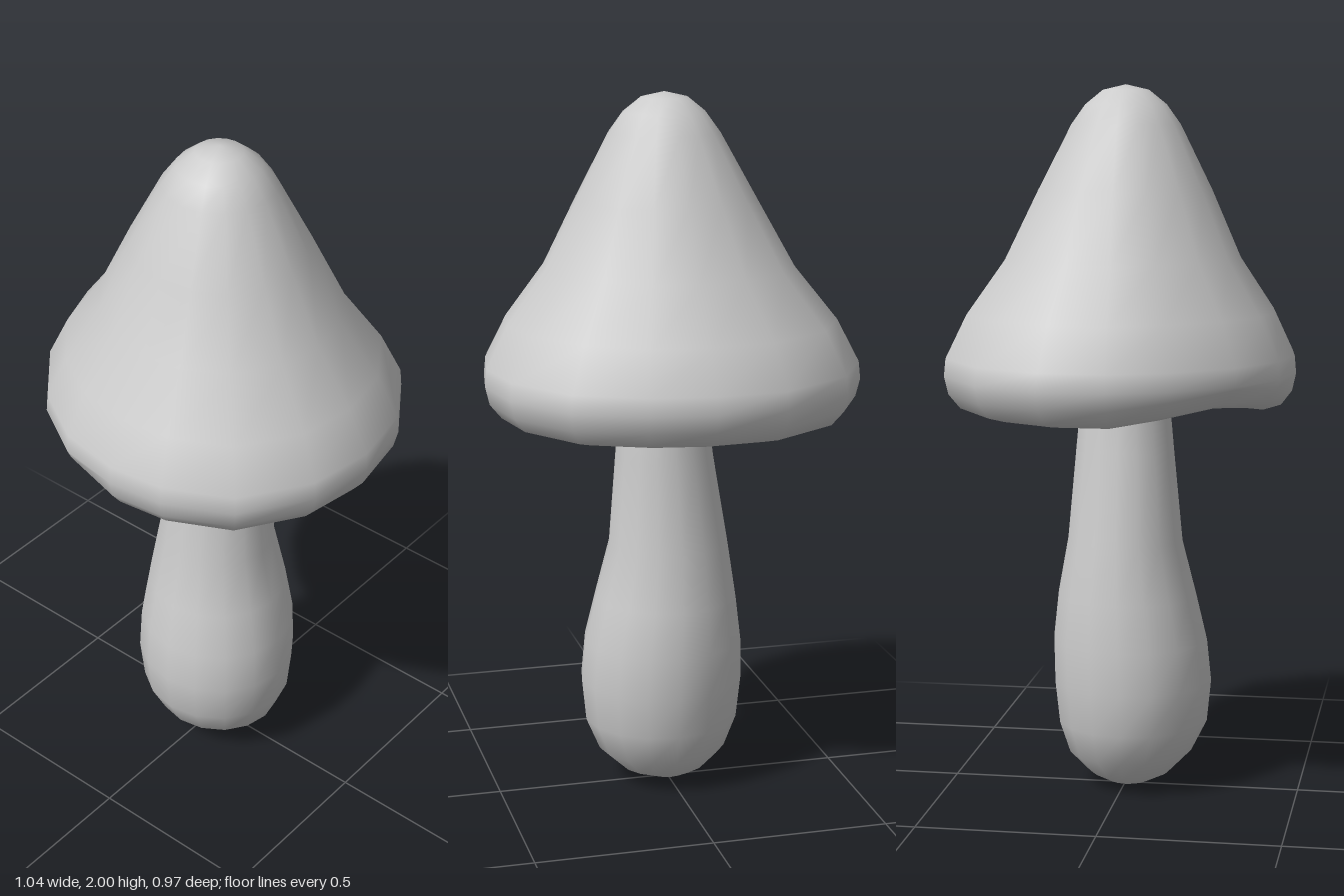
import * as THREE from 'three';
import { mergeVertices } from 'three/addons/utils/BufferGeometryUtils.js';

const SIDES = 16;

// Skin a closed surface over rings running from bottom to top
function skin(name, ringCount, pointAt) {
  const positions = [], index = [];
  for (let i = 0; i < ringCount; i++) {
    for (let j = 0; j < SIDES; j++) positions.push(...pointAt(i, j));
  }
  for (let i = 0; i < ringCount - 1; i++) {
    for (let j = 0; j < SIDES; j++) {
      const a = i * SIDES + j, b = i * SIDES + (j + 1) % SIDES;
      const c = a + SIDES, d = b + SIDES;
      index.push(a, b, d, a, d, c);
    }
  }
  let geometry = new THREE.BufferGeometry();
  geometry.setAttribute('position', new THREE.Float32BufferAttribute(positions, 3));
  geometry.setIndex(index);
  geometry = mergeVertices(geometry, 1e-5); // weld the poles
  geometry.computeVertexNormals();
  const mesh = new THREE.Mesh(geometry, new THREE.MeshStandardMaterial({ color: 0xcccccc }));
  mesh.name = name;
  return mesh;
}

// Uneven rim of the cap, as x, z from the front round by +x
const RIM = [
  [0.03, 0.48], [0.19, 0.46], [0.37, 0.37], [0.49, 0.185],
  [0.52, 0], [0.485, -0.19], [0.36, -0.375], [0.17, -0.46],
  [-0.01, -0.49], [-0.21, -0.475], [-0.42, -0.34], [-0.52, -0.155],
  [-0.52, 0.03], [-0.46, 0.19], [-0.32, 0.35], [-0.15, 0.45],
];

// Cap: radius, y; hollow round the stem, rolled rim, bell sides, round tip
const CAP = [
  [0, 1.27], [0.08, 1.26], [0.15, 1.21], [0.19, 1.14], [0.28, 1.11], [0.42, 1.095],
  [0.475, 1.11], [0.508, 1.15], [0.52, 1.2], [0.515, 1.25], [0.455, 1.37],
  [0.345, 1.52], [0.25, 1.71], [0.155, 1.89], [0.115, 1.945], [0.065, 1.985], [0, 2],
];

// Stem: y, left x, right x, back z, front z
const STEM = [
  [0.005, 0, 0, 0, 0],
  [0.012, -0.06, 0.06, -0.05, 0.07],
  [0.04, -0.115, 0.135, -0.105, 0.13],
  [0.1, -0.17, 0.2, -0.165, 0.19],
  [0.19, -0.207, 0.238, -0.195, 0.235],
  [0.31, -0.22, 0.25, -0.208, 0.247],
  [0.43, -0.217, 0.24, -0.21, 0.235],
  [0.56, -0.2, 0.21, -0.195, 0.205],
  [0.72, -0.175, 0.17, -0.165, 0.165],
  [0.98, -0.13, 0.15, -0.143, 0.138],
  [1.12, -0.112, 0.137, -0.13, 0.125],
  [1.27, -0.09, 0.115, -0.11, 0.105],
  [1.27, 0.01, 0.01, 0, 0],
];

export function createModel() {
  const group = new THREE.Group();
  group.name = 'mushroom';

  group.add(skin('cap', CAP.length, (i, j) => {
    const [r, y] = CAP[i];
    const angle = j / SIDES * Math.PI * 2;
    // Round near the axis, following the uneven rim further out
    const t = THREE.MathUtils.smoothstep(r, 0.12, 0.45);
    const x = THREE.MathUtils.lerp(Math.sin(angle) * r, RIM[j][0] * r / 0.52, t);
    const z = THREE.MathUtils.lerp(Math.cos(angle) * r, RIM[j][1] * r / 0.52, t);
    // Lower edge lifts a little at the front right
    const lift = { 13: 0.02, 14: 0.04, 15: 0.025 }[j] ?? 0;
    const edge = i > 3 && i < 8 ? 1 : 0;
    return [x + 0.008 * (1 - t), y + lift * edge * t, z];
  }));

  group.add(skin('stem', STEM.length, (i, j) => {
    const [y, x0, x1, z0, z1] = STEM[i];
    const angle = j / SIDES * Math.PI * 2;
    return [
      (x0 + x1) / 2 + Math.sin(angle) * (x1 - x0) / 2,
      y === STEM[0][0] ? 0 : y,
      (z0 + z1) / 2 + Math.cos(angle) * (z1 - z0) / 2,
    ];
  }));

  return group;
}
